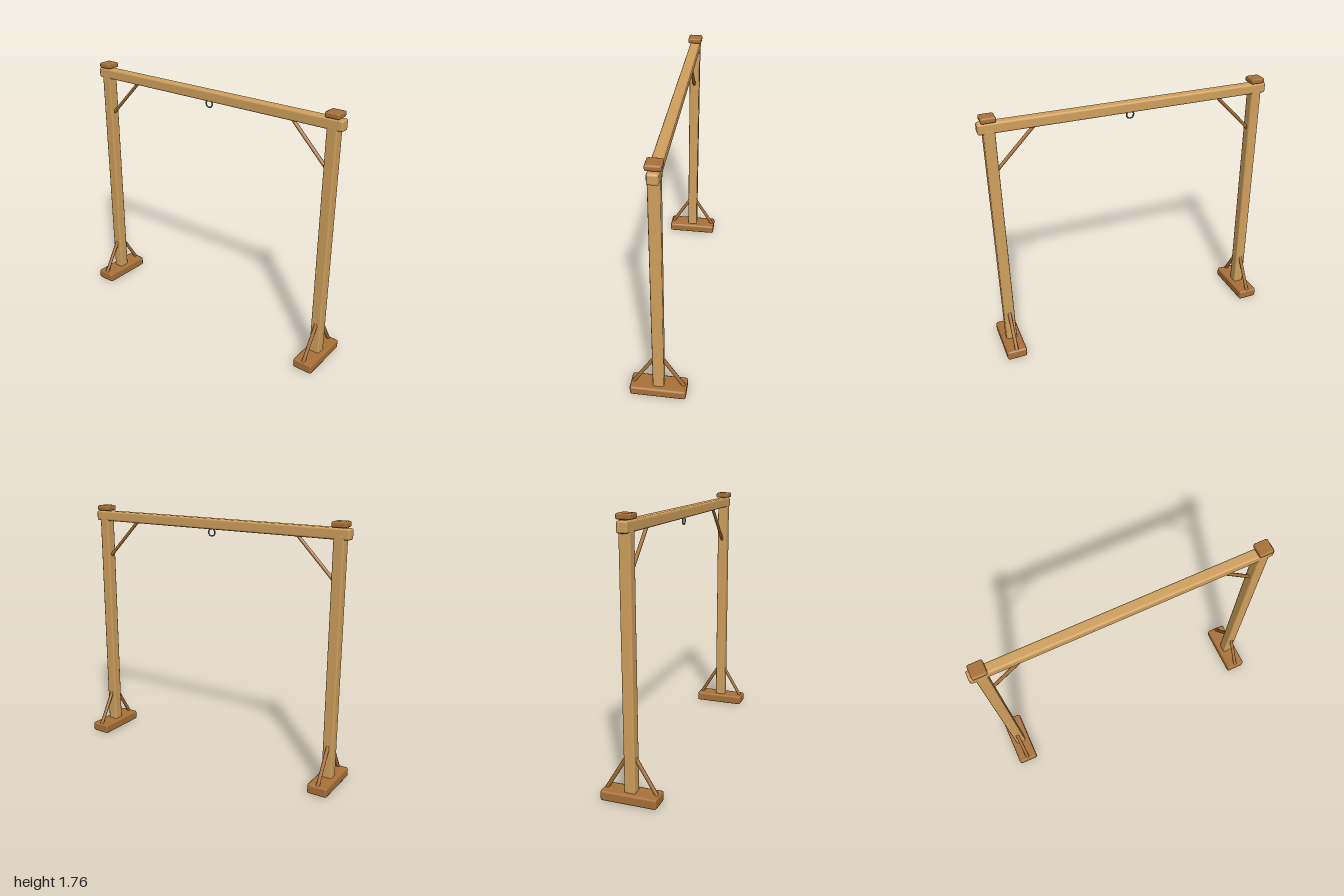
import * as THREE from 'three';
import { RoundedBoxGeometry } from 'three/addons/geometries/RoundedBoxGeometry.js';

export function createModel() {
  const group = new THREE.Group();
  const material = (name, color) => {
    const m = new THREE.MeshStandardMaterial({ color });
    m.name = name;
    return m;
  };
  const lightWood = material('lightWood', 0xd2a25e);
  const darkWood = material('darkWood', 0xaa7238);
  const iron = material('iron', 0x50585e);

  const add = (name, geometry, mat, x, y, z) => {
    const mesh = new THREE.Mesh(geometry, mat);
    mesh.name = name;
    mesh.position.set(x, y, z);
    group.add(mesh);
    return mesh;
  };
  // Timber with softened edges, spanning y0 to y1
  const timber = (name, mat, x, y0, y1, w, d, r) =>
    add(name, new RoundedBoxGeometry(w, y1 - y0, d, 1, r), mat, x, (y0 + y1) / 2, 0);
  // Round strut between two points
  const strut = (name, a, b, radius) => {
    const from = new THREE.Vector3(...a), to = new THREE.Vector3(...b);
    const dir = to.clone().sub(from);
    const mid = from.clone().add(to).multiplyScalar(0.5);
    const mesh = add(name, new THREE.CylinderGeometry(radius, radius, dir.length(), 8), darkWood, mid.x, mid.y, mid.z);
    mesh.quaternion.setFromUnitVectors(new THREE.Vector3(0, 1, 0), dir.normalize());
  };

  // Crossbeam
  timber('crossbeam', lightWood, 0, 1.648, 1.72, 2, 0.071, 0.014);

  for (const [side, s] of [['left', 1], ['right', -1]]) {
    const x = s * 0.93;
    // Foot, post and cap
    timber(side + 'Foot', darkWood, x, 0, 0.068, 0.14, 0.374, 0.014);
    timber(side + 'Post', lightWood, x, 0, 1.68, 0.074, 0.074, 0.012);
    timber(side + 'Cap', darkWood, x, 1.722, 1.76, 0.098, 0.098, 0.012);
    // Diagonal knee brace under the beam
    strut(side + 'KneeBrace', [s * 0.91, 1.38, 0], [s * 0.63, 1.666, 0], 0.012);
    // Stabilising struts on the foot
    for (const [end, t] of [['Front', 1], ['Back', -1]]) {
      strut(side + end + 'FootStrut', [x, 0.05, t * 0.175], [x, 0.30, t * 0.022], 0.013);
    }
  }

  // Hanging ring
  add('ring', new THREE.TorusGeometry(0.025, 0.005, 8, 24), iron, 0, 1.625, 0);

  return group;
}
